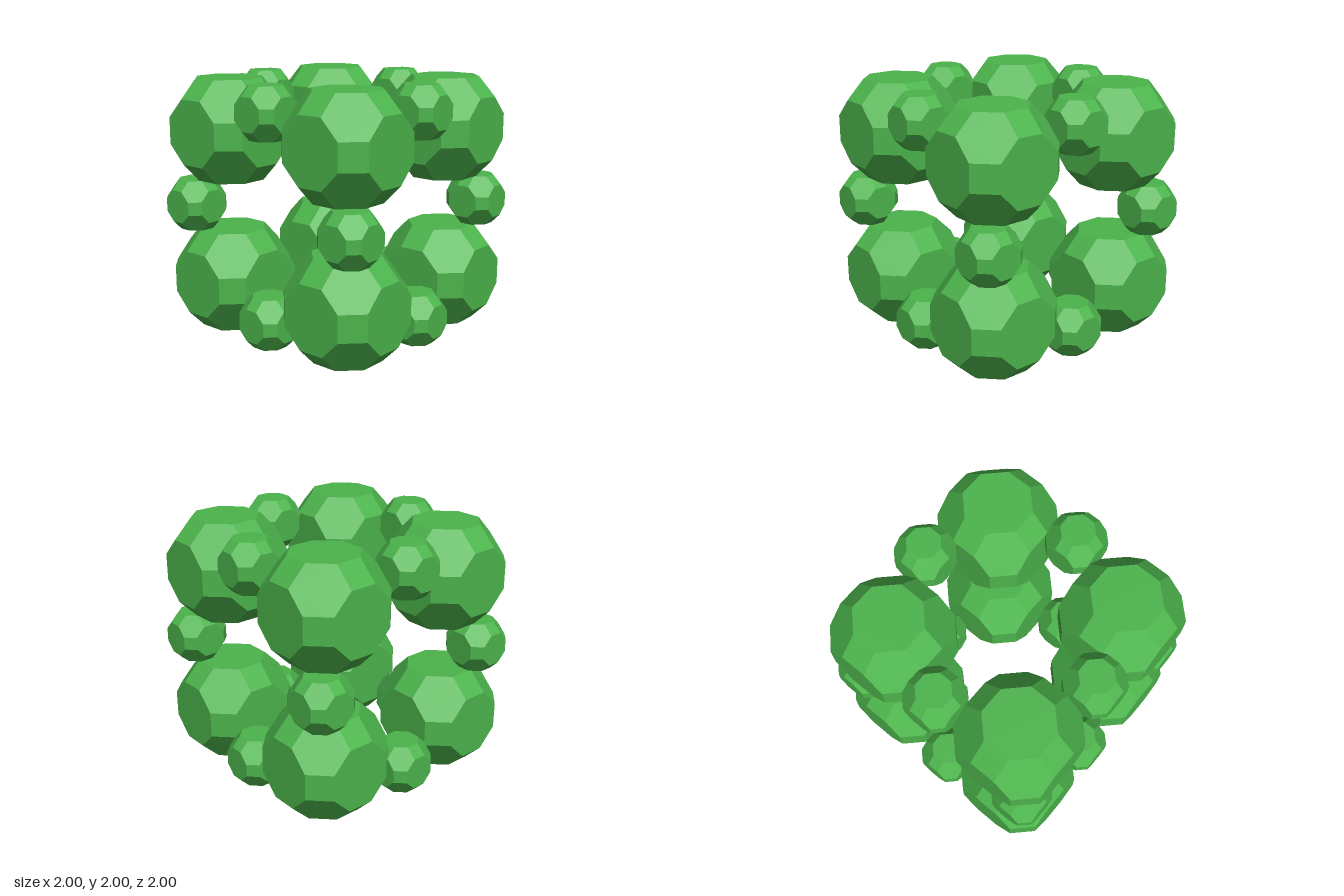
import * as THREE from 'three';
import { ConvexGeometry } from 'three/addons/geometries/ConvexGeometry.js';

// Truncated cuboctahedron: all signed permutations of (1, 1+√2, 1+2√2), scaled to a half-width
function truncatedCuboctahedron(halfWidth) {
  const s = halfWidth / (1 + 2 * Math.SQRT2);
  const a = s, b = s * (1 + Math.SQRT2), c = halfWidth;
  const orders = [[a, b, c], [a, c, b], [b, a, c], [b, c, a], [c, a, b], [c, b, a]];
  const points = [];
  for (const [x, y, z] of orders)
    for (const i of [-1, 1]) for (const j of [-1, 1]) for (const k of [-1, 1])
      points.push(new THREE.Vector3(i * x, j * y, k * z));
  return new ConvexGeometry(points);
}

export function createModel() {
  const group = new THREE.Group();
  group.name = 'polyhedronCluster';
  const material = new THREE.MeshStandardMaterial({ color: 0x4cb44c, flatShading: true });
  const large = truncatedCuboctahedron(0.4);
  const small = truncatedCuboctahedron(0.2);

  const add = (name, geometry, x, y, z) => {
    const mesh = new THREE.Mesh(geometry, material);
    mesh.name = name;
    mesh.position.set(x, y + 1, z);
    group.add(mesh);
  };

  // Large solids at the cube's corners, small ones at the middles of its edges
  for (const x of [-1, 0, 1]) for (const y of [-1, 0, 1]) for (const z of [-1, 0, 1]) {
    const nonZero = Math.abs(x) + Math.abs(y) + Math.abs(z);
    if (nonZero === 3) add('cornerPolyhedron', large, x * 0.6, y * 0.6, z * 0.6);
    if (nonZero === 2) add('edgePolyhedron', small, x * 0.8, y * 0.8, z * 0.8);
  }
  return group;
}
